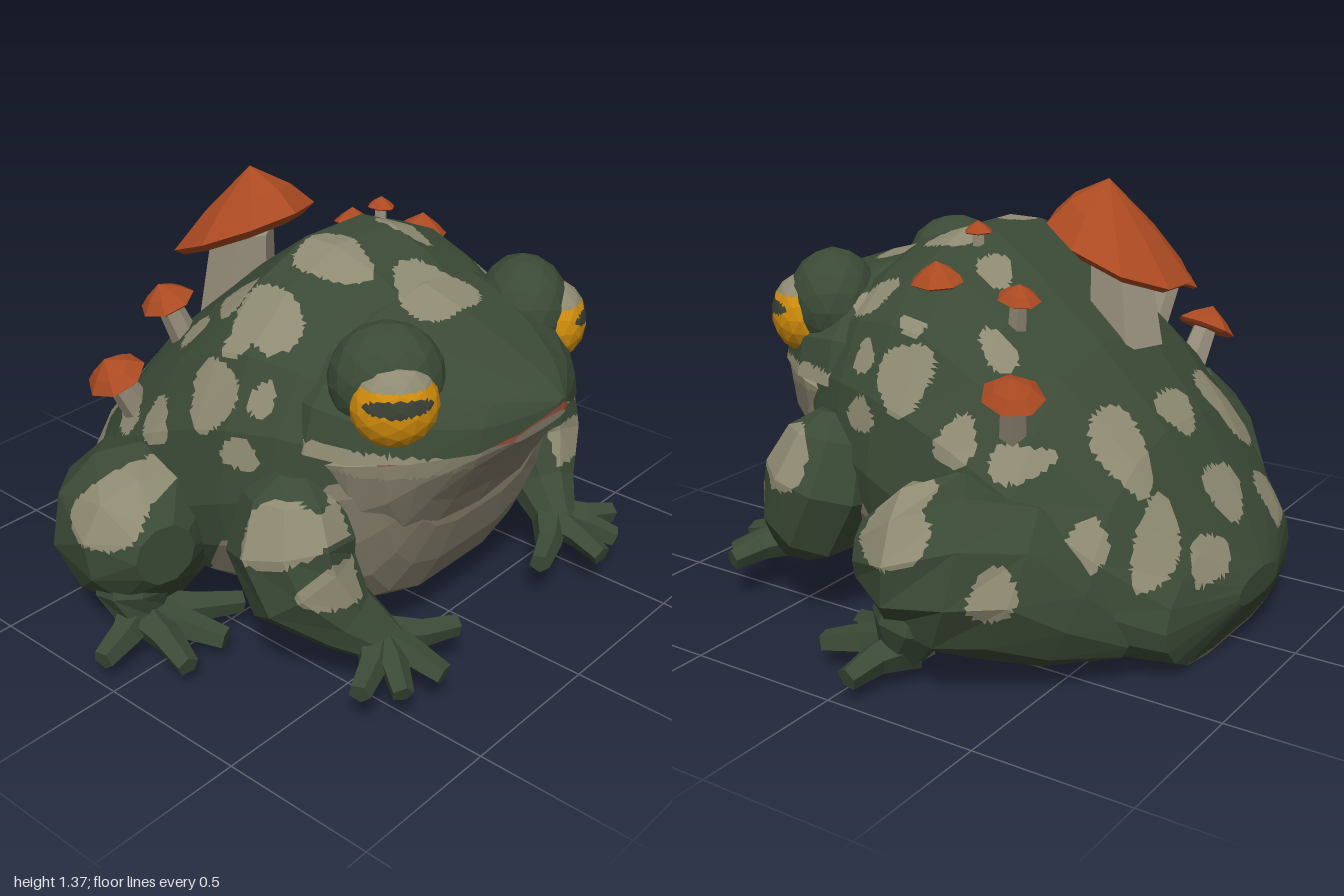
import * as THREE from 'three';

const COLORS = { skin: 0x3b4a36, spot: 0x8e8a72, belly: 0x817a68, cap: 0xab4a22, stem: 0x988f7c,
  eyeYellow: 0xd08c0c, pupil: 0x3a4034, mouth: 0x7a3b2c };
const MATS = {};
for (const [name, color] of Object.entries(COLORS)) {
  MATS[name] = new THREE.MeshStandardMaterial({ color });
  MATS[name].name = name;
}
const V = (x, y, z) => new THREE.Vector3(x, y, z);

// Closed skin over a list of rings, each ring a list of points
function loft(rings) {
  const n = rings[0].length, pos = [], idx = [];
  const center = r => r.reduce((s, p) => s.add(p), V(0, 0, 0)).divideScalar(n);
  rings.forEach(r => r.forEach(p => pos.push(p.x, p.y, p.z)));
  const last = rings.length - 1, c0 = n * rings.length;
  for (const c of [center(rings[0]), center(rings[last])]) pos.push(c.x, c.y, c.z);
  for (let j = 0; j < n; j++) {
    const k = (j + 1) % n;
    for (let i = 0; i < last; i++) {
      const a = i * n + j, b = i * n + k;
      idx.push(a, b, a + n, b, b + n, a + n);
    }
    idx.push(c0, k, j, c0 + 1, last * n + j, last * n + k);
  }
  const g = new THREE.BufferGeometry();
  g.setAttribute('position', new THREE.Float32BufferAttribute(pos, 3));
  g.setIndex(idx);
  return g;
}

// Rings across z: [z, bottom, widest height, top, half width]
function hull(rows, sides, flat) {
  return loft(rows.map(([z, b, m, t, w]) => Array.from({ length: sides }, (_, j) => {
    const a = j / sides * Math.PI * 2, c = Math.cos(a), s = Math.sin(a);
    const x = w * Math.sign(c) * Math.abs(c) ** (s < 0 ? flat : 0.93);
    return V(x, m + (s > 0 ? t - m : m - b) * s, z);
  })));
}

// Tapered limb: [x, y, z, radius] along its path
function limb(path, sides) {
  const pts = path.map(p => V(p[0], p[1], p[2]));
  return loft(pts.map((p, i) => {
    const t = pts[Math.min(i + 1, pts.length - 1)].clone().sub(pts[Math.max(i - 1, 0)]).normalize();
    const u = V(0, 0.6, 0.8).cross(t).normalize(), v = t.clone().cross(u), r = path[i][3];
    return Array.from({ length: sides }, (_, j) => {
      const a = (j + 0.5) / sides * Math.PI * 2;
      return p.clone().addScaledVector(u, r * Math.cos(a)).addScaledVector(v, r * Math.sin(a));
    });
  }));
}

// Flat-faceted mesh of one colour
function solid(name, geo, mat) {
  const g = geo.index ? geo.toNonIndexed() : geo;
  g.computeVertexNormals();
  const m = new THREE.Mesh(g, MATS[mat]);
  m.name = name;
  return m;
}

// Halve facets along their longest edge and colour every piece by a rule(point, normal)
function painted(name, geo, rule, maxEdge = 0.026) {
  const src = (geo.index ? geo.toNonIndexed() : geo).attributes.position, bins = {};
  const n = V(0, 0, 0), tri = new THREE.Triangle();
  const split = (a, b, c) => {
    const ab = a.distanceTo(b), bc = b.distanceTo(c), ca = c.distanceTo(a), longest = Math.max(ab, bc, ca);
    if (longest > maxEdge) {
      const [p, q, r] = longest === ab ? [a, b, c] : longest === bc ? [b, c, a] : [c, a, b];
      const d = p.clone().lerp(q, 0.5);
      split(p, d, r);
      split(d, q, r);
      return;
    }
    const mid = a.clone().add(b).add(c).divideScalar(3);
    (bins[rule(mid, n)] ??= []).push(a.x, a.y, a.z, b.x, b.y, b.z, c.x, c.y, c.z);
  };
  for (let i = 0; i < src.count; i += 3) {
    const [a, b, c] = [0, 1, 2].map(k => V(0, 0, 0).fromBufferAttribute(src, i + k));
    tri.set(a, b, c).getNormal(n);
    if (tri.getArea() > 1e-7) split(a, b, c);
  }
  const g = new THREE.BufferGeometry(), all = [], mats = [];
  for (const [key, list] of Object.entries(bins)) {
    g.addGroup(all.length / 3, list.length / 3, mats.length);
    mats.push(MATS[key]);
    for (const v of list) all.push(v);
  }
  g.setAttribute('position', new THREE.Float32BufferAttribute(all, 3));
  g.computeVertexNormals();
  const m = new THREE.Mesh(g, mats);
  m.name = name;
  return m;
}

// Blotches: [u, v, radius u, radius v], with a wavy edge
const inSpot = (list, u, v) => list.some(([cu, cv, ru, rv]) => {
  const a = (u - cu) / ru, b = (v - cv) / rv;
  return Math.hypot(a, b) < 1 + 0.1 * Math.sin(3 * Math.atan2(b, a) + cu * 20);
});
const BACK = [[-.35, -.77, .13, .06], [-.03, -.73, .1, .05], [.2, -.8, .1, .04], [.35, -.7, .11, .05],
  [-.35, -.57, .15, .08], [0, -.57, .09, .05], [.3, -.55, .09, .09], [-.15, .13, .1, .13],
  [-.42, .1, .09, .12], [.17, .13, .06, .1], [0, .4, .14, .12], [-.36, -.07, .06, .06],
  [.24, -.07, .06, .05], [.4, .27, .05, .08], [.42, -.2, .04, .06], [-.42, -.2, .04, .05]];
const FLANK = [[.03, .85, .09, .1], [.17, .72, .06, .05], [.2, .88, .04, .05], [.05, 1, .05, .04],
  [-.12, 1, .05, .05], [-.18, .7, .06, .07], [-.36, .66, .08, .05], [-.3, .5, .05, .05],
  [-.44, .36, .04, .08], [-.58, .45, .05, .08], [-.55, .2, .04, .05]];
const skinAt = p => (Math.abs(p.x) > 0.48 ? inSpot(FLANK, p.z, p.y) : p.y > 0.28 && inSpot(BACK, p.x, p.z))
  ? 'spot' : 'skin';

// Upper edge of the pale belly along z
const EDGE = [[-1, .0], [-.75, .03], [-.1, .1], [.1, .4], [.3, .52], [.5, .74], [1, .78]];
function bellyEdge(z) {
  const i = EDGE.findIndex(e => e[0] >= z), [z0, y0] = EDGE[i - 1], [z1, y1] = EDGE[i];
  return THREE.MathUtils.mapLinear(z, z0, z1, y0, y1);
}

// Cap and stem, each with its own lean; shear pushes the tip of the cap forward
function mushroom(x, y, z, r, length, lean, { stemLean = lean, shear = 0, segs = 7 } = {}) {
  const g = new THREE.Group();
  g.name = 'mushroom';
  const profile = [[0, -.12], [.85, -.1], [1, 0], [.62, .34], [0, .74]].map(p => new THREE.Vector2(p[0] * r, p[1] * r));
  const capShape = new THREE.LatheGeometry(profile, segs);
  capShape.applyMatrix4(new THREE.Matrix4().set(.95, 0, 0, 0, 0, 1, 0, 0, 0, shear, 1.05, 0, 0, 0, 0, 1));
  const cap = solid('mushroomCap', capShape, 'cap');
  const stemShape = new THREE.CylinderGeometry(r * .42, r * .54, length, 6).translate(0, -length / 2, 0);
  const stem = solid('mushroomStem', stemShape, 'stem');
  cap.quaternion.setFromUnitVectors(V(0, 1, 0), V(...lean).normalize());
  stem.quaternion.setFromUnitVectors(V(0, 1, 0), V(...stemLean).normalize());
  g.add(cap, stem);
  g.position.set(x, y, z);
  return g;
}

export function createModel() {
  const toad = new THREE.Group();
  toad.name = 'toad';

  // Body with pale belly
  const body = hull([[-.87, .16, .2, .25, .14], [-.78, 0, .18, .39, .43], [-.6, .01, .26, .68, .57],
    [-.38, .04, .38, .92, .66], [-.18, .055, .46, 1.09, .67], [0, .07, .5, 1.225, .66], [.12, .09, .55, 1.225, .65],
    [.28, .11, .6, 1.17, .6], [.42, .13, .62, 1.08, .53], [.5, .18, .64, .95, .47], [.56, .3, .66, .86, .42],
    [.6, .44, .67, .8, .33]], 18, .6);
  toad.add(painted('body', body, p => (p.y < bellyEdge(p.z) ? 'belly' : skinAt(p))));

  // Upper head with pale lip, and lower jaw
  const head = hull([[.2, .72, .76, 1.1, .5], [.36, .74, .76, 1.12, .54], [.5, .8, .765, 1.08, .51],
    [.64, .85, .775, 1.03, .4], [.76, .87, .79, .98, .25], [.82, .88, .83, .95, .13],
    [.87, .895, .89, .91, .02]], 16, .8);
  toad.add(painted('head', head, (p, n) => {
    if (n.y < -.3 && p.z > .5 && Math.abs(p.x) < .26) return 'mouth';
    return Math.abs(p.x) > .26 && p.y < .81 - .1 * Math.abs(p.z - .45) ? 'spot' : skinAt(p);
  }));
  const jaw = hull([[.3, .4, .71, .77, .53], [.48, .3, .75, .785, .5], [.58, .42, .768, .8, .45],
    [.64, .55, .775, .805, .39], [.72, .68, .785, .81, .28], [.8, .78, .795, .81, .13]], 16, .75);
  toad.add(painted('lowerJaw', jaw, (p, n) => {
    if (n.y > .6 && p.z > .56) return 'mouth';
    return Math.abs(p.x) > .22 && p.y > .72 ? 'spot' : 'belly';
  }));

  for (const s of [1, -1]) {
    // Eyelid bulge and eye
    const lid = solid('eyelid', new THREE.IcosahedronGeometry(.172, 2), 'skin');
    lid.scale.set(1, 1, .85);
    lid.position.set(s * .33, .97, .49);
    lid.rotation.y = s * .75;
    const eye = painted('eye', new THREE.IcosahedronGeometry(.13, 2), p => {
      if (p.y > .072) return 'spot';
      if (p.z > 0 && ((p.x / .1) ** 2 + ((p.y - .03) / .025) ** 2) < 1) return 'pupil';
      return 'eyeYellow';
    }, .014);
    eye.scale.set(1, 1, .85);
    eye.position.set(s * .383, .935, .563);
    eye.rotation.y = s * .72;
    toad.add(lid, eye);

    // Front leg
    const arm = limb([[.53, .69, .32, .06], [.54, .62, .32, .15], [.57, .48, .34, .195], [.57, .36, .39, .18],
      [.51, .25, .5, .11], [.45, .18, .6, .07], [.44, .16, .65, .05]].map(([x, y, z, r]) => [s * x, y, z, r]), 9);
    toad.add(painted('frontLeg', arm, p =>
      (inSpot([[.4, .57, .11, .09], [.54, .42, .05, .07]], p.z, p.y) && Math.abs(p.x) > .5 ? 'spot' : 'skin')));
    for (const [x, y, z] of [[.66, .15, .68], [.56, .13, .76], [.42, .14, .8], [.22, .16, .69]]) {
      toad.add(solid('frontToe', limb([[s * .45, .19, .57, .065], [s * (.45 + x) / 2, .17, (.6 + z) / 2, .045],
        [s * x, y, z, .035]], 5), 'skin'));
    }

    // Hind leg
    const thigh = limb([[.42, .14, -.66, .07], [.49, .22, -.5, .19], [.58, .32, -.33, .26], [.69, .37, -.2, .27],
      [.755, .39, -.08, .21], [.78, .39, .02, .1]].map(([x, y, z, r]) => [s * x, y, z, r]), 10);
    toad.add(painted('thigh', thigh, p => (p.y > .25 && Math.abs(p.x) > .6
      && inSpot([[-.14, .51, .12, .1], [-.44, .36, .05, .08]], p.z, p.y) ? 'spot' : 'skin')));
    toad.add(solid('shin', limb([[s * .73, .36, -.16, .12], [s * .78, .2, -.14, .12], [s * .77, .11, -.1, .08],
      [s * .76, .09, -.04, .05]], 8), 'skin'));
    for (const [x, y, z] of [[.985, .08, -.06], [.83, .075, .15], [.66, .08, .14], [.49, .085, .04]]) {
      toad.add(solid('hindToe', limb([[s * .77, .12, -.13, .075], [s * (.77 + x) / 2, .105, (z - .1) / 2, .05],
        [s * x, y, z, .036]], 5), 'skin'));
    }
  }

  // Mushrooms on the back
  toad.add(
    mushroom(-.09, 1.16, -.31, .24, .3, [-.05, 1, -.42], { stemLean: [0, 1, .1], shear: .7, segs: 9 }),
    mushroom(-.61, .8, -.36, .1, .2, [-.5, 1, -.15]),
    mushroom(-.42, 1, -.32, .09, .2, [-.35, 1, -.2]),
    mushroom(.2, 1.225, .02, .045, .14, [.05, 1, 0], { segs: 6 }),
    mushroom(.37, 1.1, .05, .085, .16, [.15, 1, 0]),
    mushroom(.34, 1.075, -.22, .065, .18, [.2, 1, -.2]),
    mushroom(.57, .86, -.35, .092, .22, [.4, 1, -.25]));
  return toad;
}
